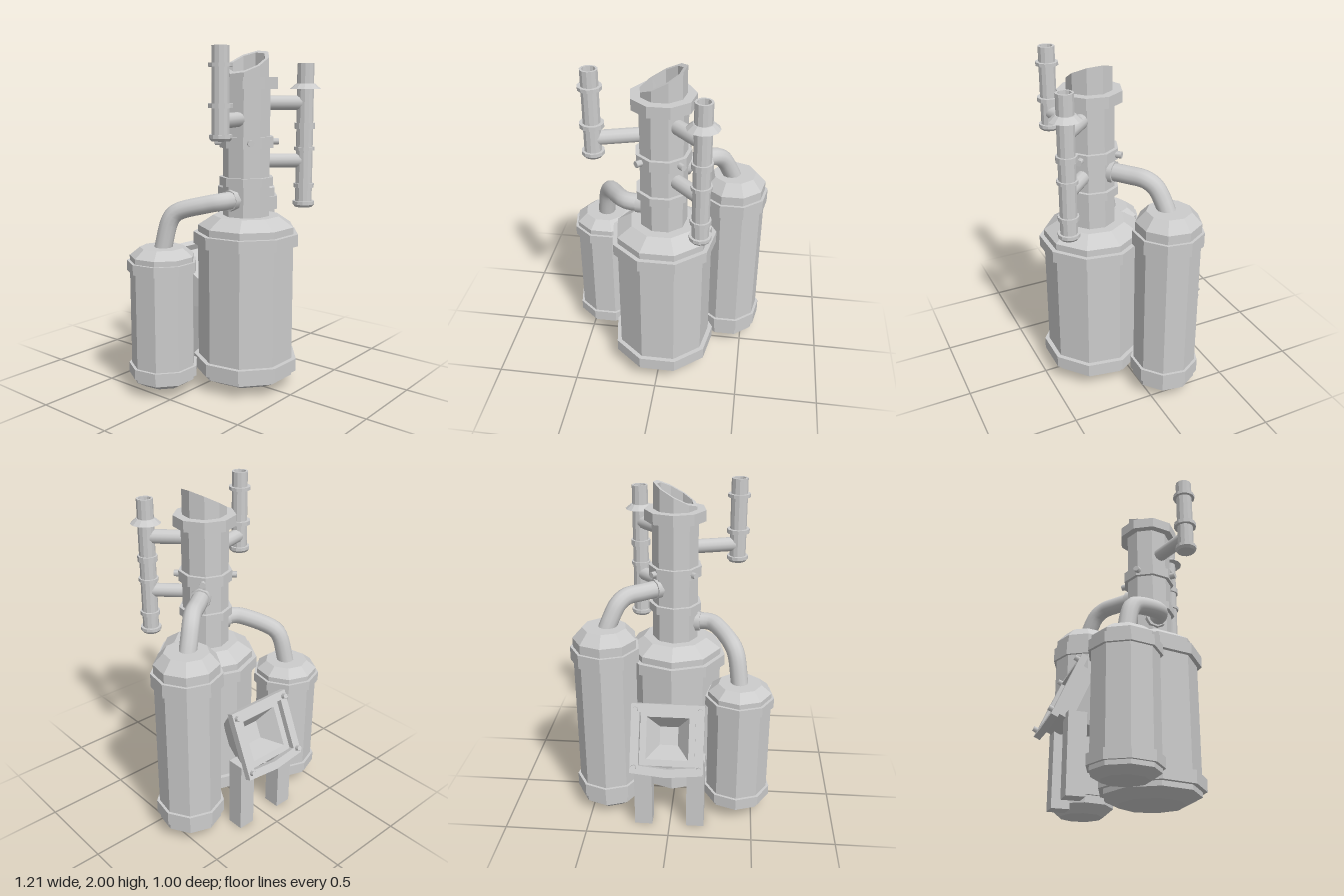
import * as THREE from 'three';

const SIDES = 9;
const steel = new THREE.MeshStandardMaterial({ color: 0xcccccc, side: THREE.DoubleSide });
steel.name = 'plain steel';

const V = (x, y, z) => new THREE.Vector3(x, y, z);

// Gives every face its own normal
function flat(geometry) {
  const g = geometry.toNonIndexed();
  g.computeVertexNormals();
  return g;
}

function add(parent, name, geometry, x = 0, y = 0, z = 0) {
  const mesh = new THREE.Mesh(geometry, steel);
  mesh.name = name;
  mesh.position.set(x, y, z);
  parent.add(mesh);
  return mesh;
}

// Faceted turned shape from [radius, height] pairs
function turned(profile, sides = SIDES, start = Math.PI) {
  return new THREE.LatheGeometry(profile.map(([r, y]) => new THREE.Vector2(r, y)), sides, start);
}

function band(parent, name, r, y0, y1, sides = SIDES) {
  const profile = [[0, y0], [r, y0], [r, y1], [0, y1]];
  return add(parent, name, flat(turned(profile, sides)));
}

// Straight round bar between two points
function bar(parent, name, a, b, r, sides = 12) {
  const mid = a.clone().add(b).multiplyScalar(0.5);
  const mesh = add(parent, name, new THREE.CylinderGeometry(r, r, a.distanceTo(b), sides), mid.x, mid.y, mid.z);
  mesh.quaternion.setFromUnitVectors(V(0, 1, 0), b.clone().sub(a).normalize());
  return mesh;
}

// Tank with chamfered ends and two bands
function tank(root, name, x, z, r, capR, bandR, ys, bands) {
  const g = new THREE.Group();
  g.name = name;
  g.position.set(x, 0, z);
  const [y0, y1, y2, y3] = ys;
  add(g, name + 'Shell', flat(turned([[0, y0], [capR, y0], [r, y1], [r, y2], [capR, y3], [0, y3]])));
  for (const [a, b] of bands) band(g, name + 'Band', bandR, a, b);
  root.add(g);
}

// Slim open-topped pipe with turned collars
function slimPipe(root, name, x, z, bottom, top, collars) {
  const g = new THREE.Group();
  g.name = name;
  g.position.set(x, 0, z);
  const r = 0.049;
  add(g, name + 'Tube', flat(turned([[0, bottom], [0.052, bottom], [0.064, bottom + 0.015],
    [0.064, bottom + 0.035], [r, bottom + 0.035], [r, top], [0.037, top], [0.033, top - 0.08], [0, top - 0.12]], 12, 0)));
  for (const [y0, y1, r0, r1] of collars) {
    add(g, name + 'Collar', flat(turned([[0.04, y0], [r0, y0], [r1, y1], [0.04, y1]], 12, 0)));
  }
  root.add(g);
}

export function createModel() {
  const root = new THREE.Group();
  root.name = 'boiler';
  const cx = 0.008, cz = 0.16;

  // Three tanks
  tank(root, 'mainTank', cx, cz, 0.288, 0.198, 0.316, [0.03, 0.075, 0.98, 1.04], [[0.105, 0.18], [0.87, 0.94]]);
  tank(root, 'tallTank', 0.4, -0.14, 0.19, 0.13, 0.207, [0.02, 0.07, 1.145, 1.21], [[0.115, 0.2], [1.005, 1.09]]);
  tank(root, 'shortTank', -0.402, -0.14, 0.19, 0.13, 0.207, [0.048, 0.085, 0.825, 0.873], [[0.11, 0.17], [0.735, 0.795]]);

  // Chimney with a slanted open mouth
  const chimney = new THREE.Group();
  chimney.name = 'chimney';
  chimney.position.set(cx, 0, cz);
  root.add(chimney);
  const stack = turned([[0.14, 1.0], [0.14, 1.8], [0.13, 1.8], [0.13, 1.927], [0.106, 1.927], [0.1, 1.72], [0, 1.72]]);
  const p = stack.attributes.position;
  for (let i = 0; i < p.count; i++) {
    if (p.getY(i) > 1.9) p.setY(i, p.getY(i) + 0.54 * p.getX(i));
  }
  add(chimney, 'chimneyStack', flat(stack));
  // Bands are rings so the mouth stays open
  for (const [r, y0, y1] of [[0.184, 1.775, 1.84], [0.161, 1.44, 1.505], [0.161, 1.22, 1.27]]) {
    add(chimney, 'chimneyBand', flat(turned([[0.125, y0], [r, y0], [r, y1], [0.125, y1]])));
  }
  for (let i = 0; i < 4; i++) {
    const a = Math.PI / 4 + i * Math.PI / 2, s = Math.sin(a), c = Math.cos(a);
    bar(chimney, 'bandBolt', V(0.14 * s, 1.472, 0.14 * c), V(0.187 * s, 1.472, 0.187 * c), 0.02, 6);
  }

  // Bent ducts from the side tanks to the chimney, with flanges
  const ducts = {
    tallDuct: [V(0.06, 1.37, 0.12), V(0.2, 1.37, 0.01), V(0.28, 1.365, -0.05), V(0.325, 1.33, -0.09), V(0.365, 1.25, -0.12), V(0.4, 1.16, -0.14)],
    shortDuct: [V(-0.06, 1.14, 0.16), V(-0.21, 1.14, 0.145), V(-0.27, 1.125, 0.08), V(-0.355, 1.075, -0.07), V(-0.375, 1.03, -0.1), V(-0.402, 0.84, -0.14)],
  };
  for (const [name, pts] of Object.entries(ducts)) {
    const curve = new THREE.CatmullRomCurve3(pts, false, 'centripetal');
    add(root, name, new THREE.TubeGeometry(curve, 24, 0.052, 12));
    const dir = pts[1].clone().sub(pts[0]).normalize();
    const at = d => pts[0].clone().addScaledVector(dir, d);
    bar(root, name + 'Flange', at(0.04), at(0.088), 0.063, 8);
  }

  // Slim pipes and the arms that hold them
  slimPipe(root, 'rightSlimPipe', -0.36, 0.266, 1.5, 2.0, [[1.675, 1.7, 0.068, 0.068], [1.89, 1.91, 0.067, 0.067]]);
  slimPipe(root, 'leftSlimPipe', 0.247, 0.403, 1.085, 1.92, [
    [1.2, 1.225, 0.06, 0.06], [1.42, 1.44, 0.06, 0.06], [1.545, 1.58, 0.06, 0.06], [1.775, 1.805, 0.09, 0.055]]);
  bar(root, 'rightArm', V(-0.09, 1.605, 0.185), V(-0.36, 1.605, 0.266), 0.042);
  for (const y of [1.36, 1.695]) bar(root, 'leftArm', V(0.08, y, 0.235), V(0.247, y, 0.403), 0.042);

  // Tilted feed hatch at the back; its local +z points outwards, +y down
  const hatch = new THREE.Group();
  hatch.name = 'feedHatch';
  hatch.position.set(0.012, 0.612, -0.387);
  hatch.rotation.x = Math.PI + 0.41;
  root.add(hatch);
  const q = Math.SQRT2;
  const hopper = turned([[0, -0.3], [0.07 * q, -0.3], [0.163 * q, -0.1], [0.163 * q, -0.015],
    [0.125 * q, -0.015], [0.055 * q, -0.13], [0, -0.13]], 4, Math.PI / 4);
  hopper.rotateX(Math.PI / 2);
  add(hatch, 'hopper', flat(hopper));
  for (const s of [-1, 1]) {
    add(hatch, 'sideRail', new THREE.BoxGeometry(0.05, 0.32, 0.04), s * 0.19, 0, 0);
    for (const t of [-1, 1]) {
      bar(hatch, 'cornerBolt', V(s * 0.19, t * 0.17, 0.015), V(s * 0.19, t * 0.17, 0.045), 0.017, 6);
    }
    // Support legs
    add(root, 'leg', new THREE.BoxGeometry(0.107, 0.46, 0.105), s * 0.158 + 0.002, 0.23, -0.342);
  }
  add(hatch, 'upperRail', new THREE.BoxGeometry(0.43, 0.05, 0.04), 0, -0.18, 0);
  const bent = new THREE.BoxGeometry(0.43, 0.05, 0.04, 2, 1, 1);
  const b = bent.attributes.position;
  for (let i = 0; i < b.count; i++) {
    if (Math.abs(b.getX(i)) < 0.01) b.setY(i, b.getY(i) + 0.02);
  }
  add(hatch, 'lowerRail', flat(bent), 0, 0.18, 0);

  return root;
}
